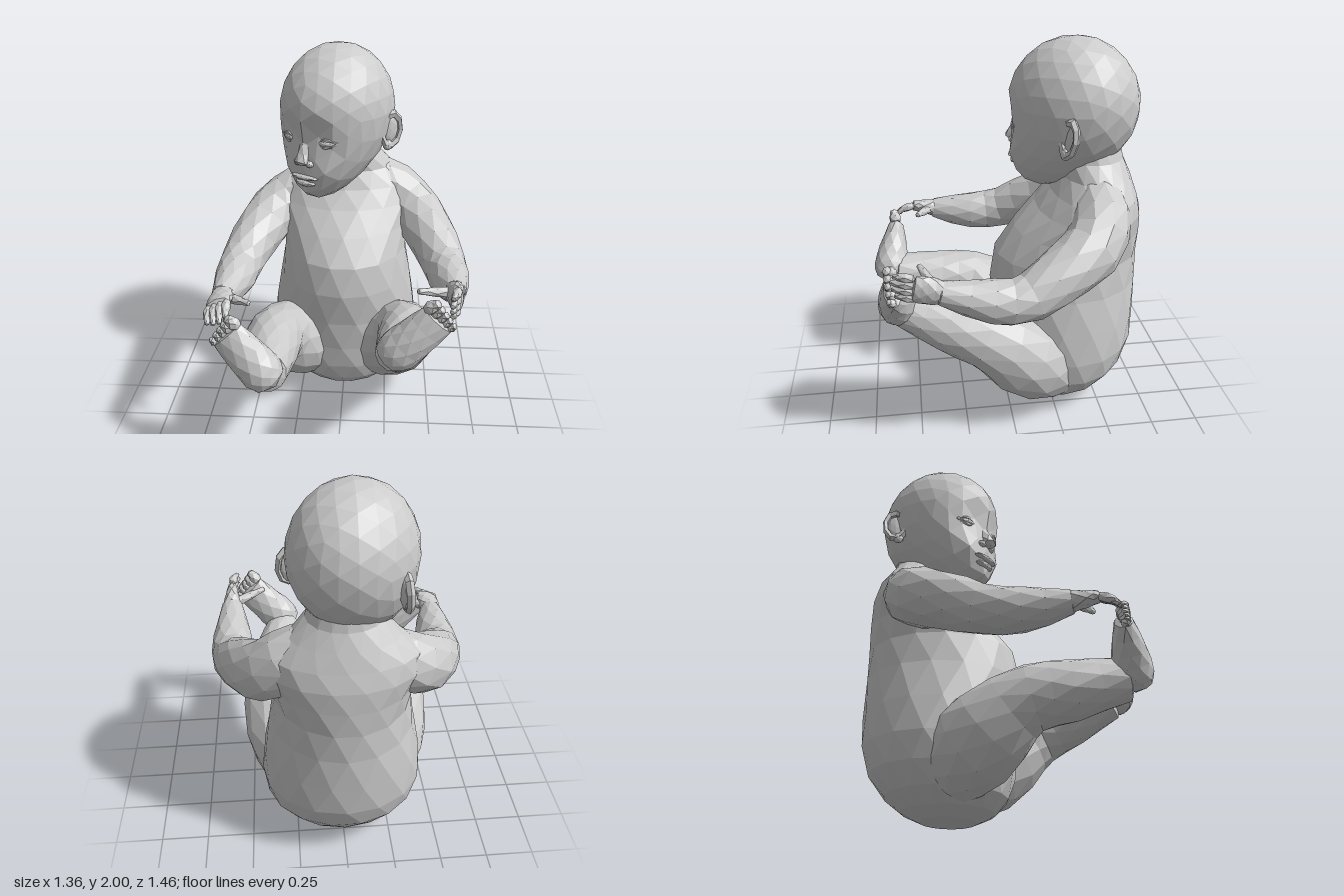
import * as THREE from 'three';

const skin = new THREE.MeshStandardMaterial({ color: 0xcccccc, flatShading: true });
const V = (x, y, z) => new THREE.Vector3(x, y, z);

function add(parent, name, geometry) {
  const mesh = new THREE.Mesh(geometry, skin);
  mesh.name = name;
  parent.add(mesh);
  return mesh;
}

// Loft of elliptical rings through stations [x, y, z, halfWidth, halfDepth].
// ref points along the depth direction; axis fixes the ring plane if given.
function loft(stations, { sides = 10, steps = 8, ref = V(0, 1, 0), axis = null, cap = 0.4 } = {}) {
  const path = new THREE.CatmullRomCurve3(stations.map(s => V(s[0], s[1], s[2])));
  const size = new THREE.CatmullRomCurve3(stations.map(s => V(s[3], s[4] ?? s[3], 0)));
  const rings = [], ends = [];
  for (let i = 0; i <= steps; i++) {
    const c = path.getPoint(i / steps), r = size.getPoint(i / steps);
    const d = axis ? axis.clone() : path.getTangent(i / steps);
    const n = ref.clone().addScaledVector(d, -ref.dot(d)).normalize();
    const b = n.clone().cross(d);
    const ring = [];
    for (let j = 0; j < sides; j++) {
      const a = (j + (i % 2) * 0.5) / sides * Math.PI * 2;
      ring.push(c.clone().addScaledVector(b, r.x * Math.cos(a)).addScaledVector(n, r.y * Math.sin(a)));
    }
    rings.push(ring);
    if (i === 0) ends.push(c.clone().addScaledVector(d, -cap * Math.min(r.x, r.y)));
    if (i === steps) ends.push(c.clone().addScaledVector(d, cap * Math.min(r.x, r.y)));
  }
  const tri = [];
  for (let j = 0; j < sides; j++) {
    const k = (j + 1) % sides;
    for (let i = 0; i < steps; i++) {
      const p = rings[i], q = rings[i + 1];
      if (i % 2) tri.push(p[j], p[k], q[k], p[j], q[k], q[j]);
      else tri.push(p[j], p[k], q[j], p[k], q[k], q[j]);
    }
    tri.push(ends[0], rings[0][k], rings[0][j], ends[1], rings[steps][j], rings[steps][k]);
  }
  const g = new THREE.BufferGeometry().setFromPoints(tri);
  g.computeVertexNormals();
  return g;
}

// Faceted ellipsoid
function blob(parent, name, pos, scale) {
  const m = add(parent, name, new THREE.IcosahedronGeometry(1, 1));
  m.position.set(...pos);
  m.scale.set(...scale);
  return m;
}

function makeHead() {
  const head = new THREE.Group();
  head.name = 'head';
  head.position.set(-0.045, 1.66, -0.37);
  head.rotation.y = -Math.PI / 6;

  // Skull narrowing to a forward chin, with shallow eye hollows and full cheeks
  const g = new THREE.IcosahedronGeometry(1, 3), p = g.attributes.position;
  const bump = (x, y, cx, cy, r) => Math.exp(-((x - cx) ** 2 + (y - cy) ** 2) / (r * r));
  for (let i = 0; i < p.count; i++) {
    const x = p.getX(i), y = p.getY(i), z = p.getZ(i), t = Math.max(0, -y);
    const X = x * 0.302 * (1 - 0.2 * t * t), Y = y * (y > 0 ? 0.342 : 0.465);
    let Z = z * 0.34 + 0.17 * t * t;
    if (z > 0) {
      const ax = Math.abs(X);
      Z += -0.03 * bump(ax, Y, 0.08, -0.12, 0.09) + 0.02 * bump(ax, Y, 0.13, -0.27, 0.09)
        + 0.02 * bump(ax, Y, 0, -0.4, 0.06) + 0.015 * bump(ax, Y, 0, 0.08, 0.12);
    }
    p.setXYZ(i, X, Y, Z);
  }
  g.computeVertexNormals();
  add(head, 'skull', g);

  // Nose and lips
  add(head, 'noseBridge', loft([[0, -0.08, 0.285, 0.03, 0.025], [0, -0.16, 0.32, 0.03], [0, -0.22, 0.355, 0.04, 0.03]],
    { sides: 6, steps: 3, ref: V(0, 0, 1) }));
  blob(head, 'upperLip', [0, -0.305, 0.323], [0.085, 0.016, 0.03]);
  blob(head, 'lowerLip', [0, -0.34, 0.315], [0.065, 0.02, 0.03]);

  for (const s of [-1, 1]) {
    blob(head, 'nostril', [s * 0.036, -0.226, 0.322], [0.026, 0.02, 0.028]);
    // Eyes with lids
    blob(head, 'eye', [s * 0.115, -0.112, 0.28], [0.05, 0.019, 0.026]).rotation.y = s * 0.4;
    for (const [name, dy, bow] of [['upperLid', -0.104, 0.014], ['lowerLid', -0.12, -0.012]]) {
      add(head, name, loft([[s * 0.06, -0.115, 0.294, 0.008], [s * 0.115, dy + bow, 0.293, 0.011],
        [s * 0.17, -0.108, 0.26, 0.008]].sort((a, b) => a[0] - b[0]), { sides: 5, steps: 4 }));
    }
    // Ears: rim, bowl and lobe
    const ear = new THREE.Group();
    ear.name = 'ear';
    ear.position.set(s * 0.295, -0.1, -0.07);
    ear.rotation.set(-0.15, s * 0.95, 0);
    head.add(ear);
    add(ear, 'earRim', new THREE.TorusGeometry(0.075, 0.02, 5, 9)).scale.set(0.75, 1.15, 1);
    blob(ear, 'earBowl', [0, 0, -0.015], [0.05, 0.085, 0.02]);
    blob(ear, 'earLobe', [-s * 0.01, -0.085, 0], [0.028, 0.03, 0.02]);
  }
  return head;
}

// Palm, four curled fingers and a thumb; across is the direction the fingers spread in
function makeHand(wrist, knuckles, tips, across, thumb) {
  const hand = new THREE.Group();
  hand.name = 'hand';
  const dir = knuckles.clone().sub(wrist).normalize();
  const thin = dir.clone().cross(across).normalize();
  const mid = wrist.clone().lerp(knuckles, 0.55);
  add(hand, 'palm', loft([[...wrist, 0.058, 0.054], [...mid, 0.073, 0.042], [...knuckles, 0.066, 0.03]],
    { sides: 8, steps: 4, ref: thin }));
  for (let i = 0; i < 4; i++) {
    const off = across.clone().multiplyScalar((i - 1.5) * 0.034);
    const reach = 1 - 0.12 * Math.abs(i - 1.7);
    const a = knuckles.clone().add(off), c = knuckles.clone().lerp(tips, reach).add(off);
    const b = a.clone().lerp(c, 0.5).addScaledVector(dir, 0.018);
    add(hand, 'finger', loft([[...a, 0.018], [...b, 0.018], [...c, 0.012]], { sides: 6, steps: 4 }));
  }
  const base = wrist.clone().lerp(knuckles, 0.15);
  add(hand, 'thumb', loft([[...base, 0.032], [...base.clone().lerp(thumb, 0.55), 0.024], [...thumb, 0.014]],
    { sides: 6, steps: 4 }));
  return hand;
}

// Foot with the sole to the front, from heel to ball, and five toes
function makeFoot(heel, ball, s) {
  const foot = new THREE.Group();
  foot.name = 'foot';
  const dir = ball.clone().sub(heel).normalize();
  const side = V(0, 0, 1).cross(dir).normalize().multiplyScalar(s);
  const at = t => heel.clone().lerp(ball, t);
  add(foot, 'sole', loft([[...heel, 0.085, 0.08], [...at(0.2), 0.11, 0.1], [...at(0.55), 0.105, 0.085],
    [...ball, 0.095, 0.045]], { sides: 10, steps: 6, ref: V(0, 0, 1), cap: 0.5 }));
  for (let i = 0; i < 5; i++) {
    const r = 0.028 - i * 0.0025;
    const a = ball.clone().addScaledVector(side, 0.072 - i * 0.036);
    const b = a.clone().addScaledVector(dir, 0.07 - i * 0.008);
    b.z += 0.02;
    add(foot, 'toe', loft([[...a, r], [...a.clone().lerp(b, 0.6), r], [...b, r * 0.8]], { sides: 6, steps: 3 }));
  }
  return foot;
}

export function createModel() {
  const baby = new THREE.Group();
  baby.name = 'sittingBaby';

  // Torso, broad upper back and neck, bottom to top
  add(baby, 'torso', loft([
    [0, 0.005, -0.28, 0.17, 0.14], [0, 0.05, -0.28, 0.27, 0.24], [0, 0.13, -0.295, 0.36, 0.32],
    [0, 0.25, -0.32, 0.42, 0.375], [0, 0.4, -0.335, 0.43, 0.395], [0, 0.6, -0.33, 0.4, 0.4],
    [0, 0.8, -0.325, 0.36, 0.405], [0, 0.95, -0.365, 0.35, 0.365], [0, 1.09, -0.435, 0.385, 0.295],
    [0, 1.19, -0.465, 0.385, 0.24], [0, 1.29, -0.48, 0.28, 0.19], [0, 1.38, -0.46, 0.19, 0.17],
    [-0.02, 1.56, -0.43, 0.15, 0.16]],
  { sides: 16, steps: 13, ref: V(0, 0, 1), axis: V(0, 1, 0), cap: 0.05 }));
  baby.add(makeHead());

  // Arms sloping out of the neck and reaching forward to the feet
  for (const s of [1, -1]) {
    const wrist = s > 0 ? V(0.575, 0.95, 0.38) : V(-0.59, 0.88, 0.36);
    add(baby, s > 0 ? 'leftArm' : 'rightArm', loft([
      [s * 0.1, s > 0 ? 1.27 : 1.22, -0.45, 0.1], [s * 0.25, s > 0 ? 1.17 : 1.13, -0.465, 0.15],
      [s * 0.385, 1.05, -0.4, 0.155], [s * 0.49, 0.96, -0.22, 0.14],
      [s * 0.56, 0.87, -0.02, 0.118], [s * 0.57, s > 0 ? 0.885 : 0.86, 0.15, 0.108], [...wrist, 0.058]],
    { sides: 10, steps: 11, cap: 0.8 }));
  }
  baby.add(makeHand(V(0.575, 0.95, 0.37), V(0.575, 0.98, 0.5), V(0.54, 0.985, 0.61), V(0, 1, 0), V(0.39, 1.0, 0.47)));
  baby.add(makeHand(V(-0.59, 0.88, 0.35), V(-0.59, 0.9, 0.48), V(-0.58, 0.85, 0.59), V(0.9, 0.4, 0).normalize(),
    V(-0.44, 0.9, 0.46)));

  // Legs bent forward, left foot held higher than the right
  add(baby, 'leftLeg', loft([[0.18, 0.24, -0.25, 0.21], [0.28, 0.34, -0.1, 0.226], [0.36, 0.53, 0.12, 0.17],
    [0.335, 0.61, 0.32, 0.142], [0.28, 0.7, 0.56, 0.095]], { sides: 12, steps: 9 }));
  baby.add(makeFoot(V(0.255, 0.69, 0.585), V(0.48, 0.93, 0.6), 1));
  add(baby, 'rightLeg', loft([[-0.18, 0.24, -0.25, 0.21], [-0.28, 0.33, -0.1, 0.226], [-0.36, 0.49, 0.12, 0.165],
    [-0.365, 0.53, 0.32, 0.15], [-0.35, 0.585, 0.6, 0.105]], { sides: 12, steps: 9 }));
  baby.add(makeFoot(V(-0.32, 0.57, 0.64), V(-0.53, 0.8, 0.59), -1));

  return baby;
}
